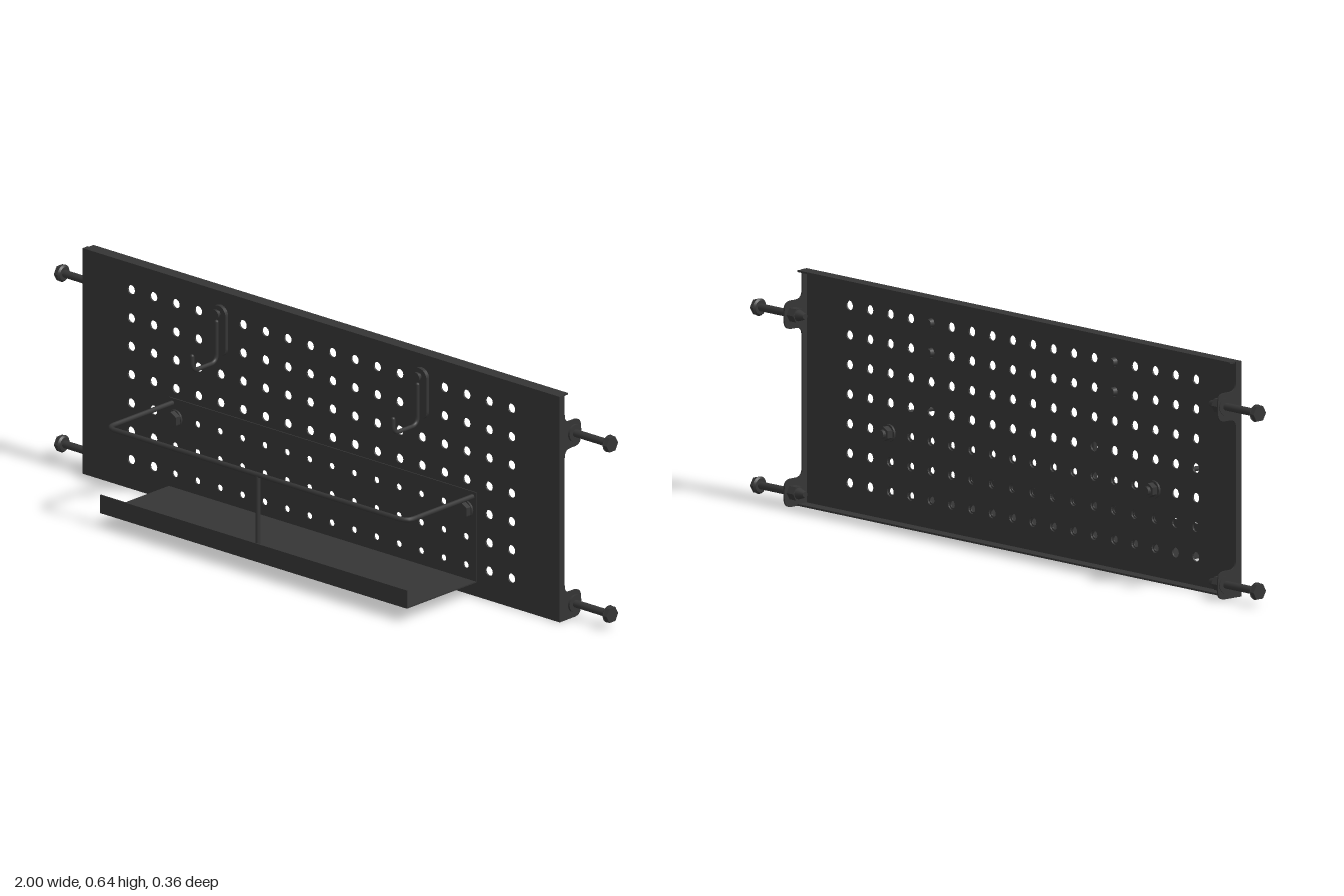
import * as THREE from 'three';

export function createModel() {
  const root = new THREE.Group();
  root.name = 'pegboardShelf';
  const black = new THREE.MeshStandardMaterial({ color: 0x353535 });
  black.name = 'matte black';

  const add = (name, geometry, x = 0, y = 0, z = 0, parent = root) => {
    const mesh = new THREE.Mesh(geometry, black);
    mesh.name = name;
    mesh.position.set(x, y, z);
    parent.add(mesh);
    return mesh;
  };
  const box = (name, x0, x1, y0, y1, z0, z1) =>
    add(name, new THREE.BoxGeometry(x1 - x0, y1 - y0, z1 - z0), (x0 + x1) / 2, (y0 + y1) / 2, (z0 + z1) / 2);

  // Cylinder along 'x' or 'z' between two coordinates; r0 is the radius at a, r1 at b
  const rod = (name, axis, a, b, r0, r1, u, v, sides, parent = root) => {
    let g = new THREE.CylinderGeometry(r1, r0, b - a, sides);
    if (sides === 6) { // crisp hexagon
      g = g.toNonIndexed();
      g.computeVertexNormals();
    }
    const m = (a + b) / 2;
    if (axis === 'x') {
      g.rotateZ(-Math.PI / 2);
      return add(name, g, m, u, v, parent);
    }
    g.rotateX(Math.PI / 2);
    return add(name, g, u, v, m, parent);
  };

  // Upright sheet with a grid of round holes
  const sheet = (name, x0, x1, y0, y1, zBack, depth, holes, radius) => {
    const s = new THREE.Shape();
    s.moveTo(x0, y0).lineTo(x1, y0).lineTo(x1, y1).lineTo(x0, y1).closePath();
    for (const [x, y] of holes) s.holes.push(new THREE.Path().absarc(x, y, radius, 0, Math.PI * 2, true));
    return add(name, new THREE.ExtrudeGeometry(s, { depth, bevelEnabled: false, curveSegments: 8 }), 0, 0, zBack);
  };

  // Perforated panel
  const L = -0.865, R = 0.861, H = 0.643;
  const columns = Array.from({ length: 18 }, (_, i) => -0.689 + i * 0.0809);
  const rows = Array.from({ length: 7 }, (_, i) => 0.083 + i * 0.0807);
  const grid = columns.flatMap(x => rows.map(y => [x, y]));
  sheet('perforatedPanel', L, R, 0, H, -0.1, 0.005, grid, 0.0135);
  box('topFlange', L + 0.005, R - 0.005, H - 0.005, H, -0.133, -0.095);
  box('bottomFlange', L + 0.005, R - 0.005, 0, 0.005, -0.133, -0.095);

  // Side flange with two rounded ears, drawn with depth to the right
  const ear = new THREE.Shape();
  ear.moveTo(0.095, 0).lineTo(0.155, 0);
  ear.quadraticCurveTo(0.18, 0, 0.18, 0.025).lineTo(0.18, 0.052);
  ear.quadraticCurveTo(0.18, 0.077, 0.155, 0.077).lineTo(0.138, 0.077);
  ear.quadraticCurveTo(0.115, 0.077, 0.115, 0.1).lineTo(0.115, 0.463);
  ear.quadraticCurveTo(0.115, 0.486, 0.138, 0.486).lineTo(0.155, 0.486);
  ear.quadraticCurveTo(0.18, 0.486, 0.18, 0.511).lineTo(0.18, 0.538);
  ear.quadraticCurveTo(0.18, 0.563, 0.155, 0.563).lineTo(0.138, 0.563);
  ear.quadraticCurveTo(0.115, 0.563, 0.115, 0.586).lineTo(0.115, H).lineTo(0.095, H).closePath();
  const flange = new THREE.ExtrudeGeometry(ear, { depth: 0.005, bevelEnabled: false, curveSegments: 8 });
  flange.rotateY(Math.PI / 2);
  add('sideFlangeRight', flange, L);
  add('sideFlangeLeft', flange, R - 0.005);

  // Side mounting bolts through the ears
  for (const side of [-1, 1]) {
    for (const y of [0.04, 0.526]) {
      const bolt = new THREE.Group();
      bolt.name = 'mountingBolt';
      root.add(bolt);
      const part = (name, a, b, ra, rb, sides) => side > 0
        ? rod(name, 'x', a, b, ra, rb, y, -0.152, sides, bolt)
        : rod(name, 'x', -b, -a, rb, ra, y, -0.152, sides, bolt);
      part('domeNut', 0.805, 0.83, 0.008, 0.016, 16);
      part('nut', 0.83, 0.857, 0.021, 0.021, 6);
      part('washer', 0.86, 0.867, 0.024, 0.024, 20);
      part('shank', 0.83, 0.99, 0.0105, 0.0105, 16);
      part('headFlange', 0.981, 0.986, 0.019, 0.024, 20);
      part('head', 0.985, 1, 0.023, 0.023, 6);
    }
  }

  // Shelf tray
  const sl = -0.55, sr = 0.56;
  const trayHoles = grid.filter(([x, y]) => x > -0.54 && x < 0.54 && y < 0.28);
  sheet('trayBack', sl, sr, 0.04, 0.297, -0.095, 0.003, trayHoles, 0.0095);
  box('trayBottom', sl, sr, 0.04, 0.0435, -0.095, 0.181);
  box('trayLip', sl, sr, 0.04, 0.092, 0.1785, 0.182);

  // Guard rail: a bent wire with a centre post
  const wire = (name, points, radius, bend) => {
    const path = new THREE.CurvePath();
    const p = points.map(q => new THREE.Vector3(...q));
    let from = p[0];
    for (let i = 1; i < p.length - 1; i++) {
      const a = p[i].clone().add(p[i - 1].clone().sub(p[i]).setLength(bend));
      const b = p[i].clone().add(p[i + 1].clone().sub(p[i]).setLength(bend));
      path.add(new THREE.LineCurve3(from, a));
      path.add(new THREE.QuadraticBezierCurve3(a, p[i], b));
      from = b;
    }
    path.add(new THREE.LineCurve3(from, p[p.length - 1]));
    return add(name, new THREE.TubeGeometry(path, 120, radius, 10));
  };
  wire('guardRail', [[-0.538, 0.283, -0.094], [-0.538, 0.283, 0.169], [0.548, 0.283, 0.169], [0.548, 0.283, -0.094]], 0.007, 0.03);
  add('railPost', new THREE.CylinderGeometry(0.007, 0.007, 0.242, 12), 0.009, 0.162, 0.169);

  // Bolts holding the tray to the panel
  for (const x of [-0.525, 0.527]) {
    rod('trayBoltHead', 'z', -0.086, -0.07, 0.023, 0.023, x, 0.243, 6);
    rod('trayBoltWasher', 'z', -0.092, -0.086, 0.024, 0.024, x, 0.243, 20);
    rod('trayRearWasher', 'z', -0.106, -0.1, 0.024, 0.024, x, 0.243, 20);
    rod('trayRearNut', 'z', -0.124, -0.106, 0.02, 0.02, x, 0.243, 6);
    rod('trayBoltTip', 'z', -0.134, -0.09, 0.012, 0.012, x, 0.243, 16);
  }

  // Hooks on slotted backing plates
  for (const x of [-0.365, 0.362]) {
    const plate = new THREE.Shape();
    plate.absarc(0, 0.578, 0.027, 0, Math.PI, false);
    plate.absarc(0, 0.487, 0.027, Math.PI, Math.PI * 2, false);
    plate.closePath();
    add('hookPlate', new THREE.ExtrudeGeometry(plate, { depth: 0.011, bevelEnabled: false, curveSegments: 10 }), x, 0, -0.095);
    wire('hook', [[x, 0.56, -0.078], [x, 0.446, -0.078], [x, 0.446, 0.019], [x, 0.488, 0.019]], 0.006, 0.024);
    add('hookTip', new THREE.SphereGeometry(0.006, 12, 8), x, 0.488, 0.019);
    add('hookTop', new THREE.SphereGeometry(0.006, 12, 8), x, 0.56, -0.078);
    rod('hookScrewNeck', 'z', -0.085, -0.076, 0.009, 0.009, x, 0.583, 14);
    rod('hookScrewHead', 'z', -0.077, -0.07, 0.013, 0.013, x, 0.583, 16);
    for (const y of [rows[5], rows[6]]) rod('hookPeg', 'z', -0.112, -0.095, 0.011, 0.0133, x, y, 14);
  }
  return root;
}
